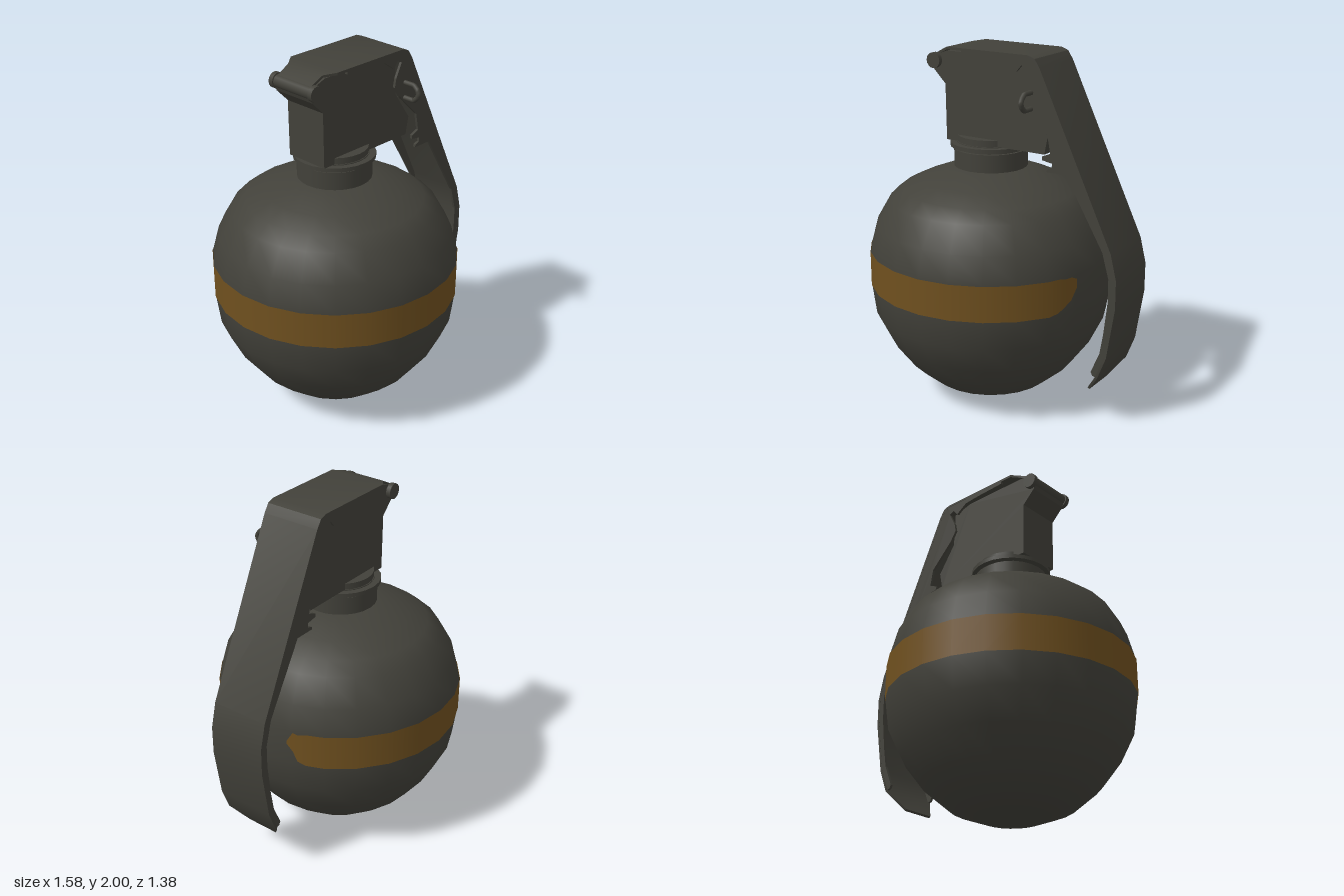
import * as THREE from 'three';
import { toCreasedNormals } from 'three/addons/utils/BufferGeometryUtils.js';

const olive = new THREE.MeshStandardMaterial({ color: 0x42413a });
olive.name = 'dark olive';
const ochre = new THREE.MeshStandardMaterial({ color: 0x6f501f, side: THREE.DoubleSide });
ochre.name = 'ochre';

const CX = -0.105; // vertical axis of the round body
const R = 0.685;

export function createModel() {
  const root = new THREE.Group();
  root.name = 'grenade';

  const add = (name, geometry, material = olive, x = 0, y = 0, z = 0) => {
    const mesh = new THREE.Mesh(geometry, material);
    mesh.name = name;
    mesh.position.set(x, y, z);
    root.add(mesh);
    return mesh;
  };
  const shape = (pts) => new THREE.Shape(pts.map(([x, y]) => new THREE.Vector2(x, y)));
  const slab = (pts, depth) =>
    new THREE.ExtrudeGeometry(shape(pts), { depth, bevelEnabled: false }).translate(0, 0, -depth / 2);

  // Round body
  const profile = [
    [0, 0], [0.175, 0.018], [0.345, 0.085], [0.48, 0.2], [0.585, 0.34], [0.663, 0.5], [R, 0.67],
    [R, 0.87], [0.645, 1.02], [0.565, 1.16], [0.49, 1.22], [0.385, 1.27], [0.205, 1.34], [0, 1.34],
  ].map(([x, y]) => new THREE.Vector2(x, y));
  add('body', new THREE.LatheGeometry(profile, 24), olive, CX);
  add('paintBand', bandGeometry(), ochre, CX);

  // Neck, collar and seat of the fuze
  const disc = (name, r, y0, y1) =>
    add(name, new THREE.CylinderGeometry(r, r, y1 - y0, 24), olive, CX, (y0 + y1) / 2);
  disc('neck', 0.205, 1.33, 1.44);
  disc('neckGroove', 0.19, 1.43, 1.48);
  disc('collar', 0.225, 1.452, 1.475);
  disc('fuzeSeat', 0.185, 1.47, 1.515);

  // Fuze housing with its hinge arm
  add('fuzeHousing', slab([
    [-0.31, 1.48], [0.32, 1.48], [0.34, 1.58], [0.23, 1.74], [0.22, 1.94], [0.1, 1.972], [-0.3, 1.972],
    [-0.36, 1.95], [-0.405, 1.9], [-0.39, 1.865], [-0.315, 1.79],
  ], 0.26));

  // Hinge barrel and pin heads
  const rod = (name, r, length, z) =>
    add(name, new THREE.CylinderGeometry(r, r, length, 16).rotateX(Math.PI / 2), olive, -0.378, 1.915, z);
  rod('hingeBarrel', 0.036, 0.27, 0);
  for (const s of [1, -1]) rod('hingePinHead', 0.043, 0.027, s * 0.142);

  // Safety lever: bent plate
  add('leverPlate', ribbon([
    [-0.395, 1.945, 0.12], [-0.31, 1.99, 0.125], [-0.25, 2, 0.17], [0.24, 2, 0.17], [0.28, 1.985, 0.17],
    [0.31, 1.94, 0.17], [0.75, 1.02, 0.17], [0.785, 0.88, 0.17], [0.785, 0.72, 0.17], [0.74, 0.43, 0.17],
    [0.69, 0.3, 0.17], [0.605, 0.185, 0.095],
  ], 0.014));

  // Safety lever: side flanges
  const flange = [
    [-0.18, 1.995], [0.24, 1.995], [0.276, 1.98], [0.305, 1.937], [0.745, 1.018], [0.78, 0.88],
    [0.78, 0.72], [0.735, 0.43], [0.685, 0.303], [0.66, 0.31], [0.65, 0.33], [0.7, 0.45], [0.72, 0.57],
    [0.74, 0.75], [0.74, 0.88], [0.7, 1.02], [0.475, 1.4], [0.36, 1.4], [0.36, 1.415], [0.39, 1.425],
    [0.39, 1.45], [0.33, 1.46], [0.33, 1.48], [0.38, 1.5], [0.36, 1.6], [0.22, 1.74], [0.18, 1.8],
    [0.19, 1.85], [0.23, 1.93], [0.2, 1.945], [0.17, 1.91], [0.1, 1.957], [0, 1.965], [-0.18, 1.972],
  ];
  for (const s of [1, -1]) add('leverFlange', slab(flange, 0.015), olive, 0, 0, s * 0.162);

  // Pull loop on the front side
  const loop = new THREE.CurvePath();
  const pts = [[1.81, 0.13], [1.81, 0.235], [1.79, 0.258], [1.767, 0.268], [1.744, 0.258], [1.724, 0.235], [1.724, 0.13]]
    .map(([y, z]) => new THREE.Vector3(0.26, y, z));
  for (let i = 1; i < pts.length; i++) loop.add(new THREE.LineCurve3(pts[i - 1], pts[i]));
  add('pullLoop', new THREE.TubeGeometry(loop, 36, 0.014, 8));

  return root;
}

// Painted strip around the body, with worn ends behind the lever
function bandGeometry() {
  const columns = [[15, 0.8, 0.85], [18, 0.735, 0.865], [21, 0.71, 0.862], [25, 0.68, 0.87]];
  for (let a = 30; a <= 330; a += 15) columns.push([a, 0.67, 0.87]);
  columns.push([338, 0.67, 0.868], [342, 0.69, 0.86], [344, 0.75, 0.87], [347, 0.79, 0.81]);
  const pos = [], nor = [], idx = [];
  columns.forEach(([deg, lo, hi], i) => {
    const a = THREE.MathUtils.degToRad(deg);
    const mid = THREE.MathUtils.degToRad(Math.floor(deg / 15) * 15 + 7.5);
    const r = (R * Math.cos(Math.PI / 24)) / Math.cos(a - mid) + 0.003;
    for (const y of [lo, hi]) {
      pos.push(r * Math.cos(a), y, r * Math.sin(a));
      nor.push(Math.cos(a), 0, Math.sin(a));
    }
    const k = i * 2;
    if (i < columns.length - 1) idx.push(k, k + 1, k + 2, k + 1, k + 3, k + 2);
  });
  const g = new THREE.BufferGeometry();
  g.setAttribute('position', new THREE.Float32BufferAttribute(pos, 3));
  g.setAttribute('normal', new THREE.Float32BufferAttribute(nor, 3));
  g.setIndex(idx);
  return g;
}

// Bent plate following [x, y, halfWidth] points, thickened to the inside of the bend
function ribbon(path, t) {
  const pos = [], idx = [];
  path.forEach(([x, y, w], i) => {
    const a = path[Math.max(i - 1, 0)], b = path[Math.min(i + 1, path.length - 1)];
    const d = new THREE.Vector2(b[0] - a[0], b[1] - a[1]).normalize();
    const ix = x + d.y * t, iy = y - d.x * t;
    pos.push(x, y, w, x, y, -w, ix, iy, -w, ix, iy, w);
    if (i === 0) return;
    const p = (i - 1) * 4, q = i * 4;
    for (let k = 0; k < 4; k++) {
      const n = (k + 1) % 4;
      idx.push(p + k, q + k, p + n, q + k, q + n, p + n);
    }
  });
  const e = (path.length - 1) * 4;
  idx.push(0, 1, 2, 0, 2, 3, e, e + 2, e + 1, e, e + 3, e + 2);
  const g = new THREE.BufferGeometry();
  g.setAttribute('position', new THREE.Float32BufferAttribute(pos, 3));
  g.setIndex(idx);
  return toCreasedNormals(g, 0.6);
}
